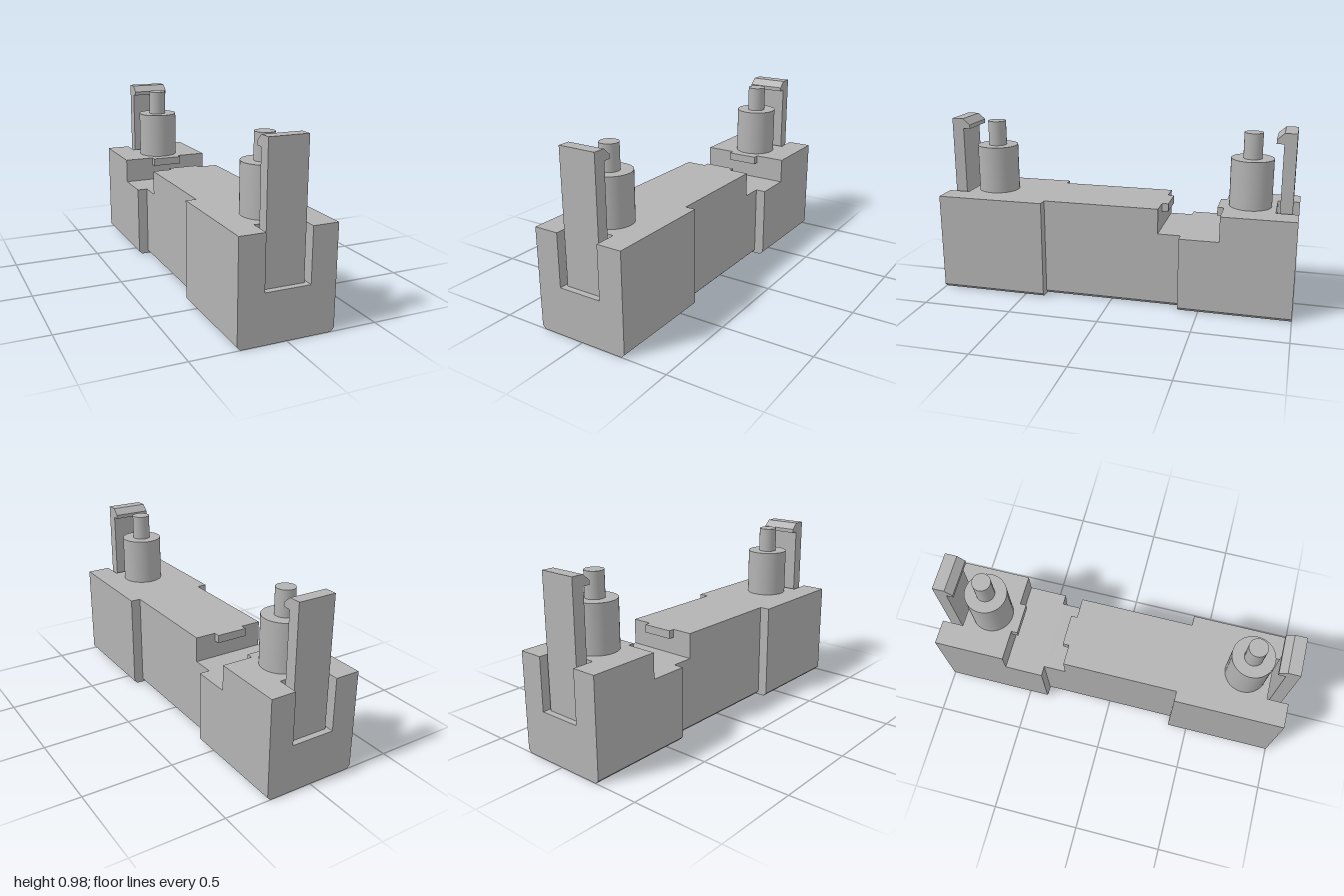
import * as THREE from 'three';

export function createModel() {
  const model = new THREE.Group();
  model.name = 'connectorBase';
  const grey = new THREE.MeshStandardMaterial({ color: 0xb3b3b3 });
  grey.name = 'plain grey';

  const add = (name, geometry, parent = model) => {
    const mesh = new THREE.Mesh(geometry, grey);
    mesh.name = name;
    parent.add(mesh);
    return mesh;
  };
  const outline = pts => new THREE.Shape(pts.map(([a, b]) => new THREE.Vector2(a, b)));

  // Body section with chamfered lower edges; slotted ones are open at the top
  const TOP = 0.555, FLOOR = 0.415, C = 0.018;
  const section = (name, half, top, z0, z1, slotted) => {
    const right = [[half - C, 0], [half, C], [half, top]];
    if (slotted) right.push([0.122, top], [0.122, 0.265]);
    const left = right.map(([x, y]) => [-x, y]).reverse();
    const g = new THREE.ExtrudeGeometry(outline([...right, ...left]), { depth: z1 - z0, bevelEnabled: false });
    g.translate(0, 0, z0);
    add(name, g);
  };
  section('frontSlotBlock', 0.26, TOP, 0.88, 1, true);
  section('frontBlock', 0.26, TOP, 0.387, 0.88);
  section('middleBlock', 0.203, TOP, -0.262, 0.387);
  section('channelNarrow', 0.203, FLOOR, -0.387, -0.262);
  section('channelWide', 0.26, FLOOR, -0.602, -0.387);
  section('backBlock', 0.26, TOP, -0.88, -0.602);
  section('backSlotBlock', 0.26, TOP, -1, -0.88, true);

  // Retaining lips overhanging the channel
  for (const [name, z] of [['channelFrontLip', -0.279], ['channelBackLip', -0.585]]) {
    add(name, new THREE.BoxGeometry(0.176, 0.045, 0.036)).position.set(0, TOP - 0.0225, z);
  }

  // Hooked clip and stepped post at each end
  const clipProfile = outline([
    [0.966, 0.265], [0.966, 0.98], [0.9, 0.98], [0.861, 0.945],
    [0.861, 0.923], [0.9, 0.923], [0.9, 0.265],
  ]);
  for (const [name, turn] of [['frontFittings', 0], ['backFittings', Math.PI]]) {
    const end = new THREE.Group();
    end.name = name;
    end.rotation.y = turn;
    model.add(end);

    const clip = new THREE.ExtrudeGeometry(clipProfile, { depth: 0.21, bevelEnabled: false });
    clip.translate(0, 0, -0.105);
    clip.rotateY(-Math.PI / 2);
    add('hookedClip', clip, end);

    add('post', new THREE.CylinderGeometry(0.116, 0.116, 0.265, 48), end).position.set(0, 0.6875, 0.737);
    add('postPin', new THREE.CylinderGeometry(0.051, 0.051, 0.14, 32), end).position.set(0, 0.89, 0.737);
  }
  return model;
}
